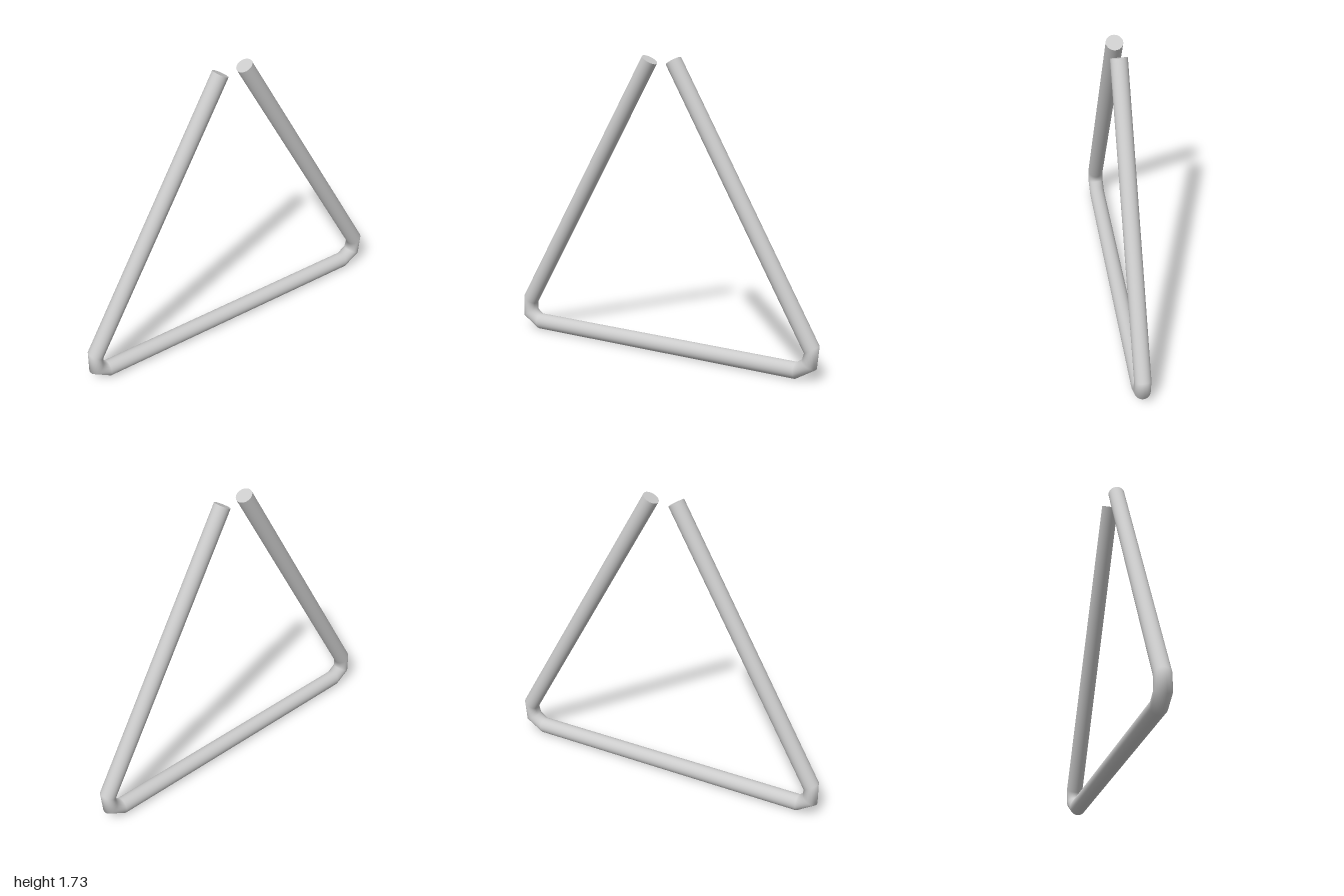
import * as THREE from 'three';

const R = 0.0475, SIDES = 32;

// Ring stations along the bent rod: x, y, travel direction in degrees
const STATIONS = [
  [-0.08, 1.707, -120],
  [-0.959, 0.182, -120], [-0.959, 0.095, -60], [-0.887, R, 0],
  [0.868, R, 0], [0.946, 0.095, 60], [0.959, 0.182, 120],
  [0.077, 1.707, 120],
];

// Smooth tube through the stations, each ring square to its direction
function rodGeometry() {
  const pos = [], idx = [], n = SIDES;
  STATIONS.forEach(([x, y, deg], i) => {
    const a = THREE.MathUtils.degToRad(deg);
    for (let j = 0; j < n; j++) {
      const t = (j / n) * Math.PI * 2, u = R * Math.cos(t);
      pos.push(x - Math.sin(a) * u, y + Math.cos(a) * u, R * Math.sin(t));
      if (i === 0) continue;
      const k = (j + 1) % n, p = (i - 1) * n, q = i * n;
      idx.push(p + j, q + j, p + k, p + k, q + j, q + k);
    }
  });
  const g = new THREE.BufferGeometry();
  g.setAttribute('position', new THREE.Float32BufferAttribute(pos, 3));
  g.setIndex(idx.reverse());
  g.computeVertexNormals();
  // Make sure faces point outward
  const c = new THREE.Vector3().fromBufferAttribute(g.attributes.normal, 0);
  const s = new THREE.Vector3(pos[0] - STATIONS[0][0], pos[1] - STATIONS[0][1], pos[2]);
  if (c.dot(s) < 0) {
    g.setIndex(idx.reverse());
    g.computeVertexNormals();
  }
  return g;
}

export function createModel() {
  const group = new THREE.Group();
  group.name = 'triangle';
  const material = new THREE.MeshStandardMaterial({ color: 0xcccccc });

  const rod = new THREE.Mesh(rodGeometry(), material);
  rod.name = 'bentRod';
  group.add(rod);

  // Flat discs closing the two open ends
  [[STATIONS[0], -1, 'rightEndCap'], [STATIONS[STATIONS.length - 1], 1, 'leftEndCap']].forEach(([[x, y, deg], dir, name]) => {
    const a = THREE.MathUtils.degToRad(deg);
    const cap = new THREE.Mesh(new THREE.CircleGeometry(R, SIDES), material);
    cap.name = name;
    cap.position.set(x, y, 0);
    cap.quaternion.setFromUnitVectors(
      new THREE.Vector3(0, 0, 1),
      new THREE.Vector3(Math.cos(a) * dir, Math.sin(a) * dir, 0));
    group.add(cap);
  });
  return group;
}
